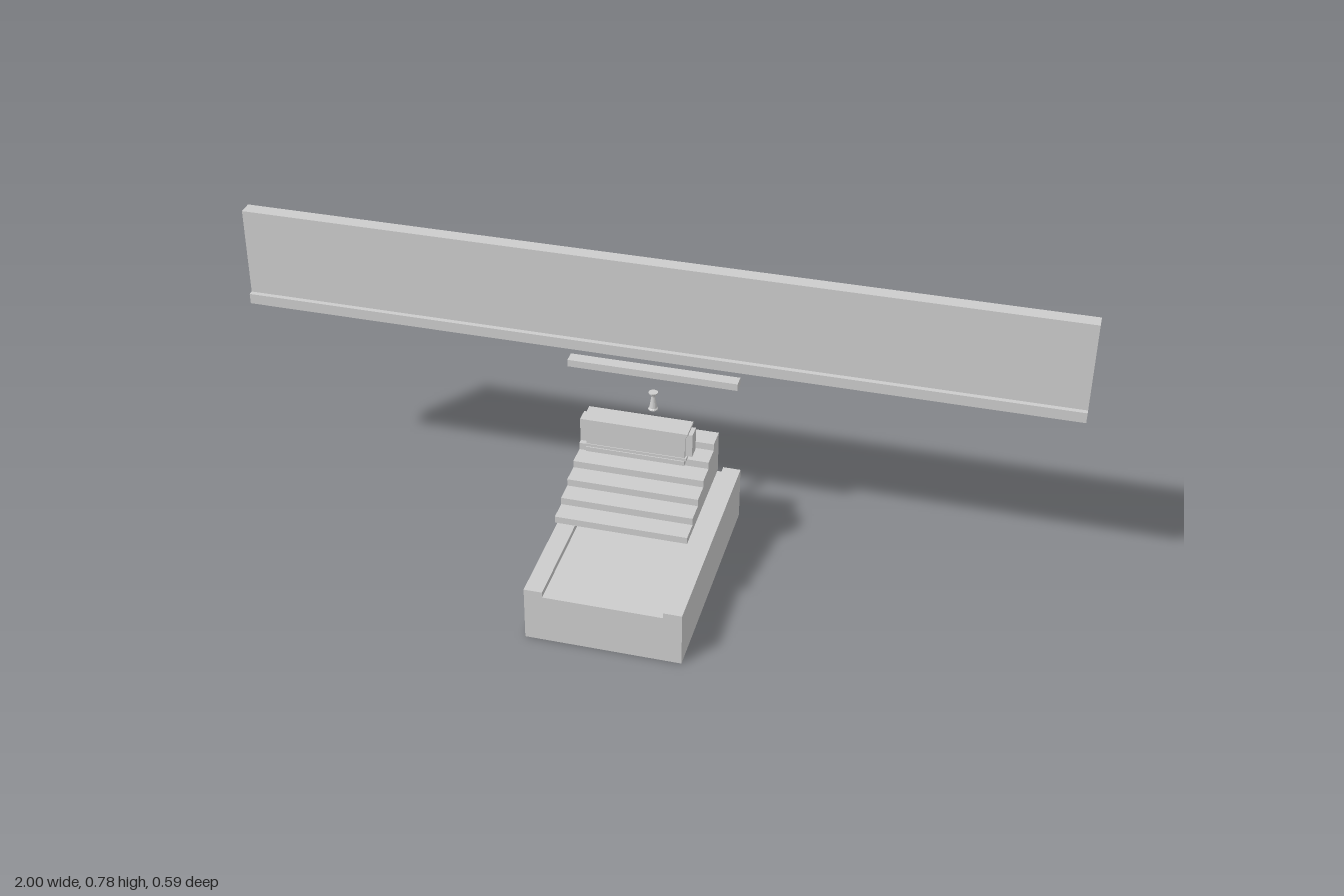
import * as THREE from 'three';

const material = new THREE.MeshStandardMaterial({ color: 0xcccccc, flatShading: true });

function add(parent, name, geometry) {
  const mesh = new THREE.Mesh(geometry, material);
  mesh.name = name;
  parent.add(mesh);
  return mesh;
}

// Box given by its limits on each axis
function box(parent, name, [x0, x1], [y0, y1], [z0, z1]) {
  const mesh = add(parent, name, new THREE.BoxGeometry(x1 - x0, y1 - y0, z1 - z0));
  mesh.position.set((x0 + x1) / 2, (y0 + y1) / 2, (z0 + z1) / 2);
  return mesh;
}

function extrude(points, depth) {
  const shape = new THREE.Shape(points.map(([x, y]) => new THREE.Vector2(x, y)));
  return new THREE.ExtrudeGeometry(shape, { depth, bevelEnabled: false })
    .translate(0, 0, -depth / 2);
}

// Side profile of [z, y] points, swept across x
function sweepAcross(parent, name, profile, width) {
  const geometry = extrude(profile.map(([z, y]) => [-z, y]), width);
  return add(parent, name, geometry.rotateY(Math.PI / 2));
}

export function createModel() {
  const model = new THREE.Group();
  model.name = 'explodedMonument';

  // Base block with a raised curb along each side
  add(model, 'base', extrude([
    [-0.187, 0], [0.187, 0], [0.187, 0.138], [0.143, 0.138],
    [0.143, 0.124], [-0.143, 0.124], [-0.143, 0.138], [-0.187, 0.138],
  ], 0.594));

  // Six steps rising towards the back
  const steps = 6, front = 0.14, back = -0.167, bottom = 0.222, rise = 0.018;
  const run = (front - back) / steps;
  const stairProfile = [[back, bottom], [front, bottom]];
  for (let i = 0; i < steps; i++) {
    const y = 0.239 + rise * i;
    stairProfile.push([front - run * i, y], [front - run * (i + 1), y]);
  }
  sweepAcross(model, 'stairs', stairProfile, 0.316);

  // Altar: core with end panels, stepped plinth and cornice
  const altar = new THREE.Group();
  altar.name = 'altar';
  model.add(altar);
  [
    ['plinth', 0.118, 0.348, 0.36, 0.028],
    ['plinthMoulding', 0.122, 0.36, 0.367, 0.0255],
    ['core', 0.118, 0.367, 0.423, 0.0235],
    ['endPanels', 0.134, 0.369, 0.428, 0.017],
    ['corniceMoulding', 0.122, 0.423, 0.43, 0.0255],
    ['cornice', 0.125, 0.43, 0.436, 0.0285],
  ].forEach(([name, halfLength, y0, y1, halfDepth]) =>
    box(altar, name, [-halfLength, halfLength], [y0, y1], [-0.013 - halfDepth, -0.013 + halfDepth]));

  // Small waisted pedestal
  const pedestalProfile = [
    [0, 0.379], [0.012, 0.379], [0.012, 0.381], [0.0095, 0.384], [0.0045, 0.414],
    [0.0055, 0.418], [0.011, 0.423], [0.0115, 0.426], [0, 0.426],
  ].map(([r, y]) => new THREE.Vector2(r, y));
  add(model, 'pedestal', new THREE.LatheGeometry(pedestalProfile, 16)).position.z = -0.153;

  // Shelf bar
  box(model, 'shelf', [-0.206, 0.206], [0.474, 0.492], [-0.167, -0.137]);

  // Long wall with a ledge along its front foot
  sweepAcross(model, 'wall', [
    [-0.164, 0.536], [-0.117, 0.536], [-0.117, 0.562],
    [-0.129, 0.562], [-0.129, 0.781], [-0.164, 0.781],
  ], 2);

  return model;
}
